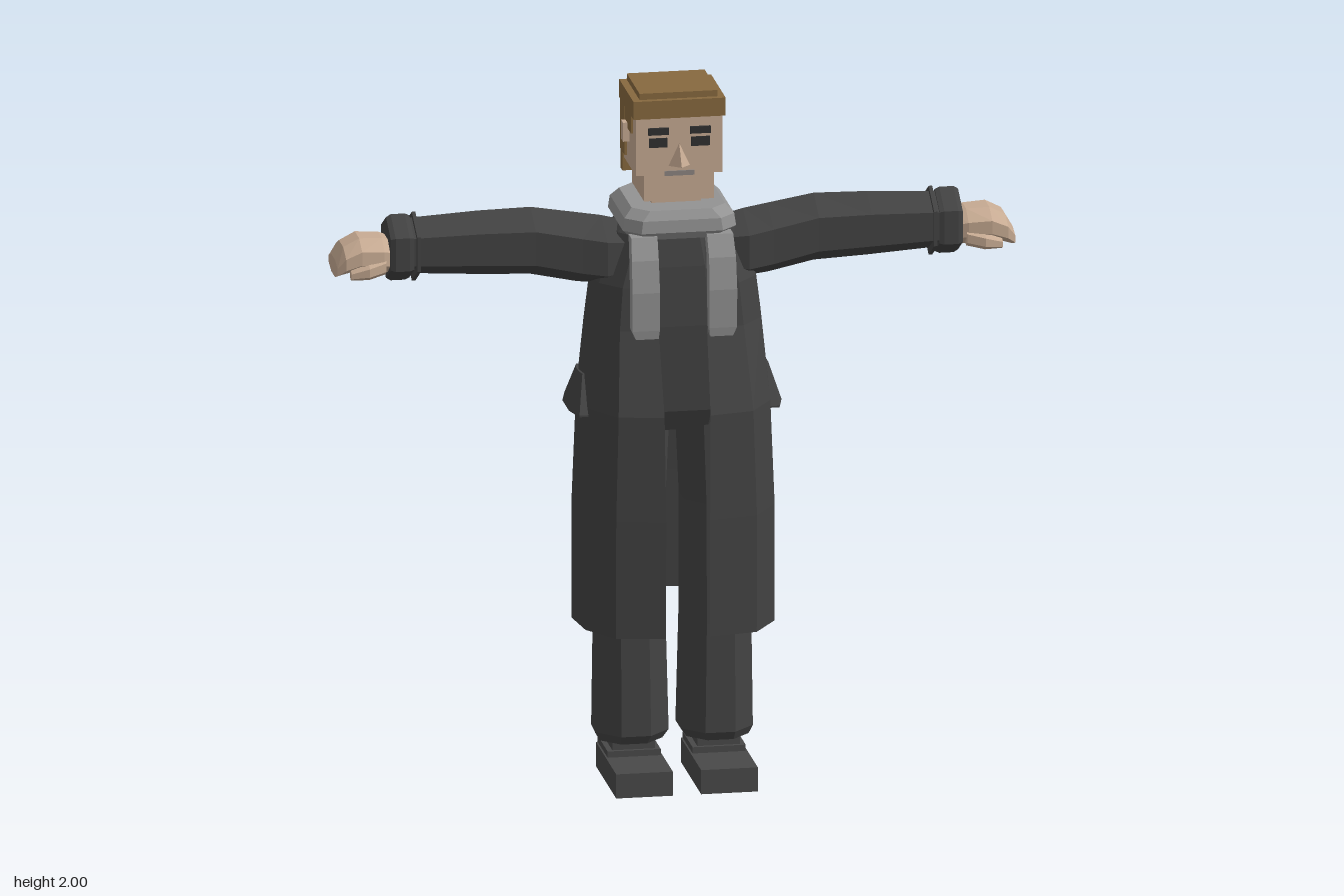
import * as THREE from 'three';

const mat = (name, color, extra = {}) => {
  const m = new THREE.MeshStandardMaterial({ color, flatShading: true, ...extra });
  m.name = name;
  return m;
};

// Skin stretched over a row of rings (each counter-clockwise seen from the end of the axis).
function loft(rings, closed = true) {
  const pos = [], n = rings[0].length;
  const tri = (a, b, c) => pos.push(...a, ...b, ...c);
  for (let i = 0; i < rings.length - 1; i++) {
    for (let j = 0; j < (closed ? n : n - 1); j++) {
      const k = (j + 1) % n, p = rings[i], q = rings[i + 1];
      tri(p[j], p[k], q[k]);
      tri(p[j], q[k], q[j]);
    }
  }
  if (closed) {
    const a = rings[0], b = rings[rings.length - 1];
    for (let j = 1; j < n - 1; j++) {
      tri(a[0], a[j + 1], a[j]);
      tri(b[0], b[j], b[j + 1]);
    }
  }
  const g = new THREE.BufferGeometry();
  g.setAttribute('position', new THREE.Float32BufferAttribute(pos, 3));
  g.computeVertexNormals();
  return g;
}

// Polygon of n sides with given half extents, as [across, along] pairs.
function polygon(n, hu, hv) {
  const out = [];
  for (let i = 0; i < n; i++) {
    const a = ((i + 0.5) / n) * Math.PI * 2;
    out.push([Math.cos(a) * hu / Math.cos(Math.PI / n), Math.sin(a) * hv / (n === 6 ? 1 : Math.cos(Math.PI / n))]);
  }
  return out;
}
// Sections [y, cx, cz, hx, hz] stacked upward
const stack = (n, s) => loft(s.map(([y, cx, cz, hx, hz]) => polygon(n, hx, hz).map(([u, v]) => [cx + u, y, cz - v])));
// Sections [x, cy, cz, hy, hz] running outward to +x
const limb = (n, s) => loft(s.map(([x, cy, cz, hy, hz]) => polygon(n, hz, hy).map(([u, v]) => [x, cy + v, cz - u])));

// Box from its limits
const box = (x0, x1, y0, y1, z0, z1) =>
  new THREE.BoxGeometry(x1 - x0, y1 - y0, z1 - z0).toNonIndexed()
    .translate((x0 + x1) / 2, (y0 + y1) / 2, (z0 + z1) / 2);

// Mirror across x and turn the triangles round again
function mirrored(geo) {
  const g = new THREE.BufferGeometry(), p = geo.attributes.position, out = [];
  for (let i = 0; i < p.count; i += 3) {
    for (const k of [i, i + 2, i + 1]) out.push(-p.getX(k), p.getY(k), p.getZ(k));
  }
  g.setAttribute('position', new THREE.Float32BufferAttribute(out, 3));
  g.computeVertexNormals();
  return g;
}

// Half outline of the coat from its front edge to the middle of the back, then mirrored
function coatRing([y, open, w, f, b]) {
  const half = [[open, f], [0.7 * w, 0.9 * f], [0.94 * w, 0.5 * f], [w, 0], [0.9 * w, -0.56 * b], [0.52 * w, -0.94 * b]];
  return [...half, [0, -b], ...half.map(([x, z]) => [-x, z]).reverse()].map(([x, z]) => [x, y, z]);
}

export function createModel() {
  const root = new THREE.Group();
  const coat = mat('coat charcoal', 0x424242, { side: THREE.DoubleSide });
  const trousers = mat('trouser charcoal', 0x434343);
  const shoe = mat('shoe grey', 0x494949);
  const scarf = mat('scarf grey', 0x929292);
  const skin = mat('skin', 0xc6aa92);
  const hair = mat('hair brown', 0x87693f);
  const dark = mat('eye dark', 0x303030);
  const lip = mat('lip grey', 0x8c8580);

  const add = (name, geo, m) => {
    const mesh = new THREE.Mesh(geo, m);
    mesh.name = name;
    root.add(mesh);
  };
  const pair = (name, geo, m) => {
    add('left ' + name, geo, m);
    add('right ' + name, mirrored(geo), m);
  };

  // Long open coat
  add('coat', loft([
    [0.46, 0.062, 0.284, 0.255, 0.26], [0.8, 0.062, 0.284, 0.26, 0.258], [1.1, 0.065, 0.272, 0.25, 0.25],
    [1.33, 0.068, 0.25, 0.175, 0.19], [1.45, 0.068, 0.235, 0.16, 0.17], [1.59, 0.068, 0.175, 0.13, 0.14],
    [1.63, 0.06, 0.13, 0.11, 0.12],
  ].map(coatRing), false), coat);
  pair('pocket flap', stack(8, [[1.075, 0.27, 0, 0.03, 0.12], [1.08, 0.27, 0, 0.03, 0.12], [1.18, 0.258, 0, 0.01, 0.05]]), coat);

  // Shirt front and hips under the coat
  add('torso', stack(8, [
    [1.02, 0, 0, 0.2, 0.10], [1.08, 0, 0, 0.215, 0.125], [1.33, 0, 0, 0.2, 0.14],
    [1.5, 0, 0, 0.17, 0.13], [1.61, 0, 0, 0.13, 0.11],
  ]), trousers);

  // Sleeves and cuffs
  pair('sleeve', limb(6, [
    [0.13, 1.525, 0, 0.08, 0.09], [0.2, 1.525, 0, 0.098, 0.11], [0.27, 1.535, 0, 0.1, 0.1],
    [0.4, 1.56, 0, 0.097, 0.088], [0.55, 1.562, 0, 0.092, 0.08], [0.75, 1.563, 0, 0.08, 0.075],
  ]), coat);
  pair('cuff', limb(6, [[0.742, 1.56, 0, 0.09, 0.08], [0.755, 1.56, 0, 0.096, 0.084], [0.795, 1.56, 0, 0.096, 0.084], [0.808, 1.56, 0, 0.088, 0.078]]), coat);
  pair('cuff band', limb(6, [[0.725, 1.56, 0, 0.1, 0.088], [0.735, 1.56, 0, 0.1, 0.088]]), coat);

  // Hands with fingers curling down, and thumbs
  pair('hand', limb(8, [
    [0.79, 1.54, 0, 0.045, 0.06], [0.825, 1.548, 0, 0.05, 0.075], [0.89, 1.555, 0, 0.046, 0.086],
    [0.935, 1.538, 0, 0.04, 0.084], [0.957, 1.515, 0, 0.025, 0.072],
  ]), skin);
  pair('thumb', limb(6, [[0.82, 1.525, 0.06, 0.025, 0.02], [0.87, 1.515, 0.078, 0.024, 0.018], [0.92, 1.505, 0.072, 0.014, 0.014]]), skin);

  // Trouser legs
  pair('trouser leg', stack(8, [
    [0.11, 0.122, 0, 0.088, 0.088], [0.135, 0.119, 0, 0.102, 0.102], [0.45, 0.121, 0, 0.096, 0.098],
    [0.8, 0.118, 0, 0.092, 0.1], [1.06, 0.11, 0, 0.095, 0.105],
  ]), trousers);

  // Shoes
  pair('shoe', box(0.04, 0.2, 0, 0.07, -0.085, 0.24), shoe);
  pair('shoe heel', box(0.045, 0.195, 0.07, 0.088, -0.085, 0.075), shoe);
  pair('ankle', box(0.06, 0.18, 0.085, 0.13, -0.07, 0.065), shoe);

  // Scarf collar and hanging ends
  add('scarf collar', loft([
    [1.585, 0.135, 0.14], [1.61, 0.16, 0.165], [1.645, 0.155, 0.162], [1.67, 0.132, 0.145],
  ].map(([y, w, d]) => {
    const c = 0.045;
    return [[w, d - c], [w, c - d], [w - c, -d], [c - w, -d], [-w, c - d], [-w, d - c], [c - w, d], [w - c, d]]
      .map(([x, z]) => [x, y, z]);
  })), scarf);
  pair('scarf end', stack(4, [
    [1.315, 0.105, 0.185, 0.032, 0.016], [1.34, 0.109, 0.186, 0.039, 0.018], [1.45, 0.109, 0.186, 0.039, 0.02],
    [1.54, 0.109, 0.17, 0.038, 0.022], [1.6, 0.107, 0.142, 0.037, 0.022],
  ]), scarf);

  // Head and neck
  add('neck', box(-0.07, 0.07, 1.62, 1.71, -0.06, 0.065), skin);
  add('jaw', box(-0.099, 0.099, 1.69, 1.78, -0.08, 0.114), skin);
  add('head', box(-0.122, 0.122, 1.765, 1.95, -0.085, 0.115), skin);
  pair('ear', box(0.12, 0.14, 1.835, 1.89, -0.022, 0.01), skin);

  // Face
  const bridge = [0, 1.855, 0.116], tip = [0, 1.795, 0.157], l = [0.03, 1.79, 0.115], r = [-0.03, 1.79, 0.115];
  const nose = new THREE.BufferGeometry();
  nose.setAttribute('position', new THREE.Float32BufferAttribute(
    [bridge, tip, l, bridge, r, tip, r, l, tip].flat(), 3));
  nose.computeVertexNormals();
  add('nose', nose, skin);
  pair('eyebrow', box(0.03, 0.088, 1.882, 1.902, 0.114, 0.122), dark);
  pair('eye', box(0.034, 0.086, 1.845, 1.872, 0.113, 0.118), dark);
  add('mouth', box(-0.042, 0.042, 1.762, 1.776, 0.113, 0.119), lip);

  // Blocky hair
  add('hair crown', box(-0.13, 0.13, 1.93, 1.982, -0.108, 0.122), hair);
  add('hair top', box(-0.11, 0.11, 1.98, 2, -0.1, 0.105), hair);
  add('hair back', box(-0.126, 0.126, 1.725, 1.94, -0.11, -0.08), hair);
  add('nape hair', box(-0.07, 0.1, 1.69, 1.73, -0.109, -0.079), hair);
  pair('sideburn', box(0.11, 0.128, 1.875, 1.935, 0.012, 0.068), hair);
  pair('hair above ear', box(0.11, 0.128, 1.89, 1.935, -0.03, 0.015), hair);
  pair('hair behind ear', box(0.11, 0.129, 1.785, 1.94, -0.1, -0.028), hair);

  return root;
}
